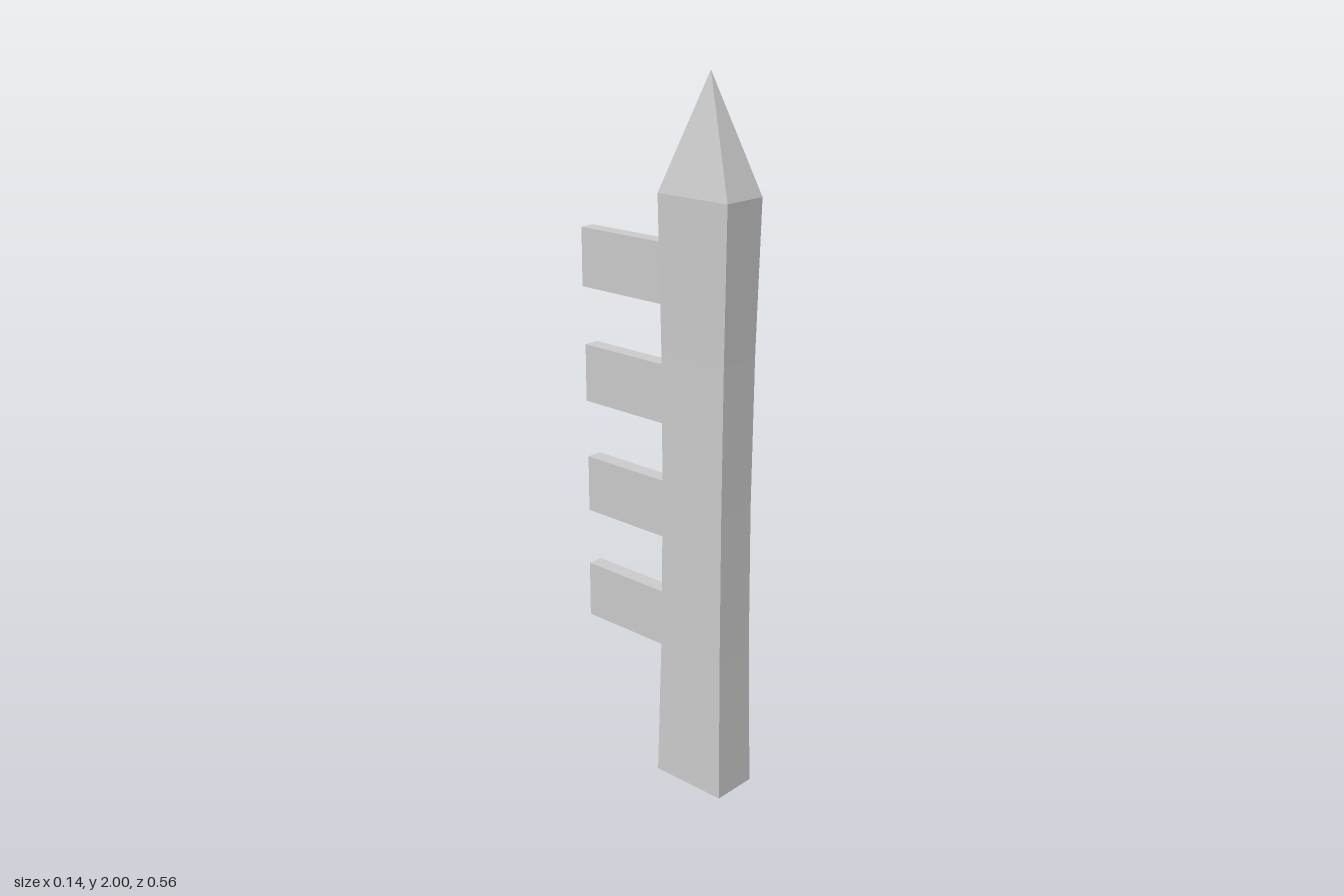
import * as THREE from 'three';

export function createModel() {
  const group = new THREE.Group();
  const material = new THREE.MeshStandardMaterial({ color: 0xcccccc, flatShading: true });

  // Four-sided post with a slight waist and a pointed top: [relative width, height]
  const profile = [[0, 0], [1, 0], [0.925, 0.42], [0.9, 0.85], [0.925, 1.27], [1, 1.69], [0, 2]]
    .map(([w, y]) => new THREE.Vector2(w * Math.SQRT2, y));
  const postGeometry = new THREE.LatheGeometry(profile, 4, Math.PI / 4);
  postGeometry.scale(0.068, 1, 0.117);
  const post = new THREE.Mesh(postGeometry, material);
  post.name = 'post';
  post.position.z = 0.163;
  group.add(post);

  // Short rail boards reaching back from the post: [centre height, front z, back z]
  const rails = [[0.463, 0.062, -0.27], [0.8, 0.062, -0.268], [1.135, 0.06, -0.272], [1.468, 0.052, -0.28]];
  rails.forEach(([y, front, back], i) => {
    const rail = new THREE.Mesh(new THREE.BoxGeometry(0.046, 0.167, front - back), material);
    rail.name = `rail${i + 1}`;
    rail.position.set(0, y, (front + back) / 2);
    group.add(rail);
  });

  return group;
}
